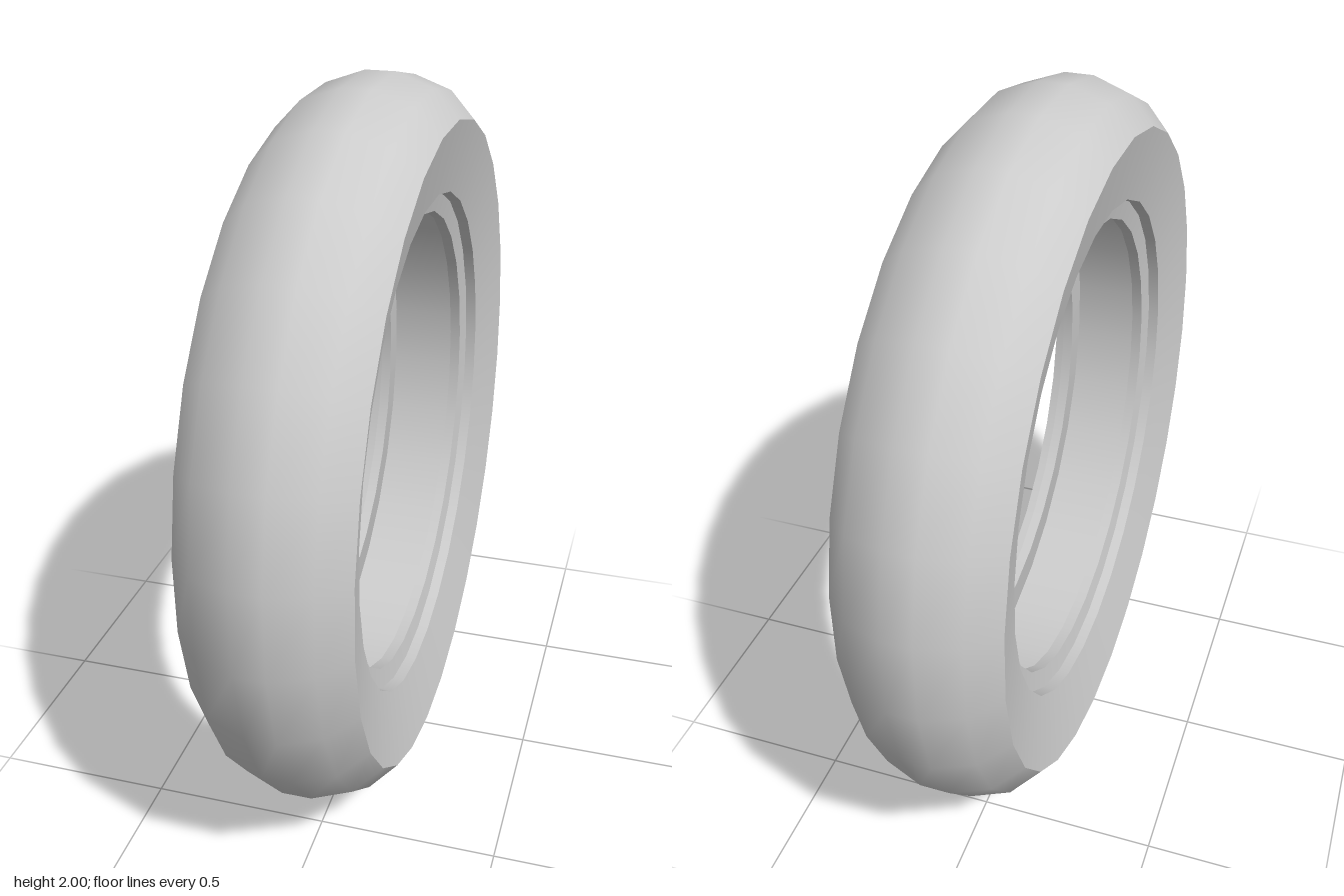
import * as THREE from 'three';

const SIDES = 28;

// Revolves one smooth band of the cross-section, given as [radius, x] points,
// about the x axis. Neighbouring bands meet in a sharp edge.
function band(name, points) {
  const profile = points.map(([r, x]) => new THREE.Vector2(r, x));
  const geometry = new THREE.LatheGeometry(profile, SIDES, Math.PI / SIDES);
  geometry.rotateZ(-Math.PI / 2);
  const material = new THREE.MeshStandardMaterial({ color: 0xcccccc });
  const mesh = new THREE.Mesh(geometry, material);
  mesh.name = name;
  return mesh;
}

// The same points on the other side, reversed so the faces still point out.
const mirror = (points) => points.map(([r, x]) => [r, -x]).reverse();

export function createModel() {
  const tire = new THREE.Group();
  tire.name = 'tire';

  // Rounded running surface
  const shoulder = [[1.006, 0.04], [0.969, 0.145], [0.896, 0.215]];
  tire.add(band('tread', [...mirror(shoulder), ...shoulder]));

  // Bands of each side, from the shoulder in to the hollow
  const sideBands = {
    Sidewall: [[0.896, 0.215], [0.70, 0.17]],
    RimSeat: [[0.70, 0.17], [0.697, 0.14]],
    BeadBevel: [[0.697, 0.14], [0.644, 0.13]],
    BeadLip: [[0.644, 0.13], [0.644, 0.10]],
    InnerFlange: [[0.644, 0.10], [0.76, 0.11]],
  };
  for (const [name, points] of Object.entries(sideBands)) {
    tire.add(band('left' + name, points));
    tire.add(band('right' + name, mirror(points)));
  }

  // Floor of the hollow channel, facing the axle
  tire.add(band('innerLiner', [[0.76, 0.11], [0.76, -0.11]]));

  tire.position.y = 1;
  const model = new THREE.Group();
  model.name = 'model';
  model.add(tire);
  return model;
}
